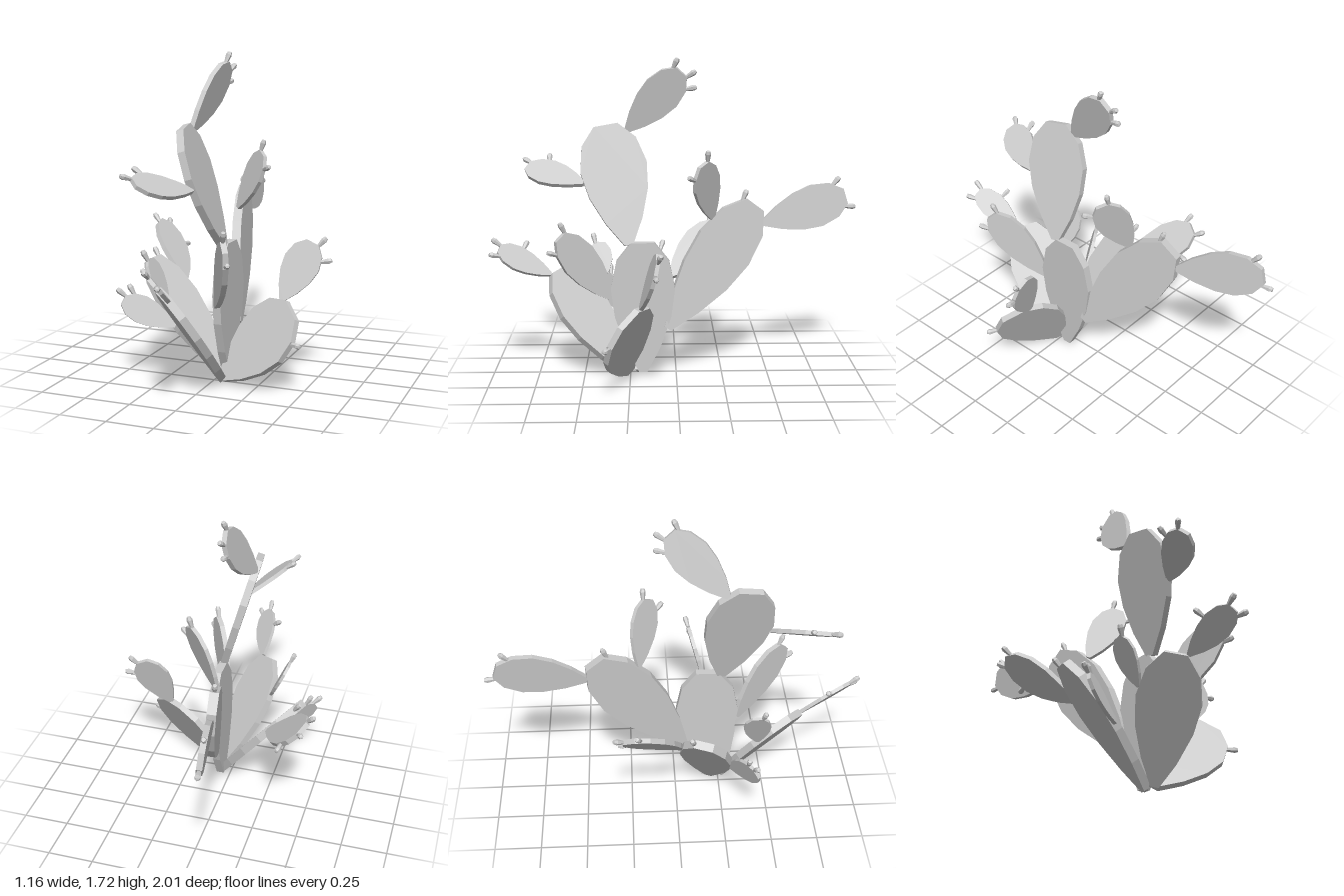
import * as THREE from 'three';

const material = new THREE.MeshStandardMaterial({ color: 0xcccccc, flatShading: true });

// Half outline shared by all pads: half width ratio and height ratio
const outline = [[0.13, 0], [0.55, 0.2], [0.88, 0.43], [1, 0.65], [0.82, 0.86], [0.36, 1]]
  .map((p) => new THREE.Vector2(...p));

// Bud: a small six-sided club
const budLength = 0.068;
const budGeometry = new THREE.LatheGeometry(
  [[0, 0], [0.009, 0], [0.016, 0.05], [0.011, 0.066], [0, budLength]].map((p) => new THREE.Vector2(...p)), 6);

// Point on a pad's rim: |s| is the height ratio, the sign of s picks the edge
function rimPoint(pad, s) {
  const height = Math.abs(s);
  const i = Math.max(1, outline.findIndex((p) => p.y >= height));
  const [a, b] = [outline[i - 1], outline[i]];
  const half = THREE.MathUtils.mapLinear(height, a.y, b.y, a.x, b.x);
  return pad.base.clone()
    .addScaledVector(pad.axis, height * pad.length)
    .addScaledVector(pad.side, Math.sign(s) * half * pad.width / 2);
}

// Bud on the rim, pointing away from the middle of its pad
function makeBud(pad, s) {
  const foot = rimPoint(pad, s);
  const middle = pad.base.clone().addScaledVector(pad.axis, 0.62 * pad.length);
  const direction = foot.clone().sub(middle).normalize();
  const bud = new THREE.Mesh(budGeometry, material);
  bud.name = 'bud';
  bud.quaternion.setFromUnitVectors(new THREE.Vector3(0, 1, 0), direction);
  bud.position.copy(foot).addScaledVector(direction, -0.01);
  return bud;
}

// Flat faceted pad from base to tip; heading is the compass angle of its face
function makePad(name, base, tip, heading, buds, widthRatio = 0.48) {
  const axis = new THREE.Vector3(...tip).sub(base);
  const length = axis.length();
  const width = widthRatio * length;
  const thickness = 0.06 * length;
  axis.normalize();

  // Tilt the face so that it lies along the axis
  const angle = THREE.MathUtils.degToRad(heading);
  const normal = new THREE.Vector3(Math.sin(angle), 0, Math.cos(angle));
  normal.y = -normal.dot(axis) / axis.y;
  normal.normalize();
  const side = axis.clone().cross(normal);

  const edge = outline.map((p) => new THREE.Vector2(p.x * width / 2, p.y * length));
  const mirrored = edge.map((p) => new THREE.Vector2(-p.x, p.y)).reverse();
  const geometry = new THREE.ExtrudeGeometry(new THREE.Shape([...edge, ...mirrored]),
    { depth: thickness, bevelEnabled: false });
  geometry.translate(0, 0, -thickness / 2);
  geometry.applyMatrix4(new THREE.Matrix4().makeBasis(side, axis, normal).setPosition(base));
  const body = new THREE.Mesh(geometry, material);
  body.name = 'pad';

  const pad = { base, axis, side, length, width, group: new THREE.Group() };
  pad.group.name = name;
  pad.group.add(body, ...buds.map((s) => makeBud(pad, s)));
  return pad;
}

export function createModel() {
  const cactus = new THREE.Group();
  cactus.name = 'cactus';

  const add = (...settings) => {
    const pad = makePad(...settings);
    cactus.add(pad.group);
    return pad;
  };
  const root = (name, z, ...rest) => add(name, new THREE.Vector3(0.05, 0.02, z), ...rest);
  const grow = (name, parent, s, ...rest) => add(name, rimPoint(parent, s), ...rest);

  // Pads rising from the ground
  const centre = root('centrePad', 0.18, [0.055, 0.74, 0.18], 90, []);
  const left = root('leftPad', 0.26, [0.43, 0.42, 0.25], -29, [0.84], 0.69);
  const front = root('frontPad', 0.27, [-0.11, 0.55, 0.65], 130, []);
  const right = root('rightPad', 0.2, [-0.41, 0.6, 0.13], 69, [1], 0.38);

  // Pads on the centre pad
  const upper = grow('upperPad', centre, -0.98, [-0.11, 1.35, 0.38], 95, [], 0.55);
  const back = grow('backPad', centre, 0.34, [-0.08, 0.92, -0.43], 100, [-0.98], 0.4);
  grow('innerPad', centre, -0.57, [0.2, 0.8, 0.61], 122, [1, -0.88], 0.42);

  // Small pads on the outer ground pads
  grow('smallLeftPad', left, -0.95, [0.49, 0.75, 0.1], 7, [1, 0.8], 0.58);
  grow('smallFrontPad', front, -1, [-0.02, 0.69, 0.96], 125, [0.6, 1, -0.95]);
  grow('smallFrontRightPad', front, 0.71, [-0.285, 0.67, 0.42], 90, [-0.98], 0.56);
  grow('lowRightPad', right, -0.48, [-0.45, 0.43, 0.41], 35, [1, 0.88]);
  grow('backRightPad', right, 0.76, [-0.51, 0.73, -0.26], 90, [-0.95, 1, 0.72]);

  // Pads on the upper and back pads
  grow('topPad', upper, 0.93, [-0.025, 1.64, -0.03], 86, [-0.97, 1, 0.88]);
  grow('upperFrontPad', upper, -0.56, [-0.18, 1.12, 0.81], 79, [0.75, 1]);
  grow('upperBackPad', back, -0.76, [0.13, 1.17, -0.14], 137, [1, -0.85], 0.53);
  grow('farBackPad', back, 0.93, [-0.17, 0.95, -0.94], 99, [-0.9, 0.97]);

  return cactus;
}
